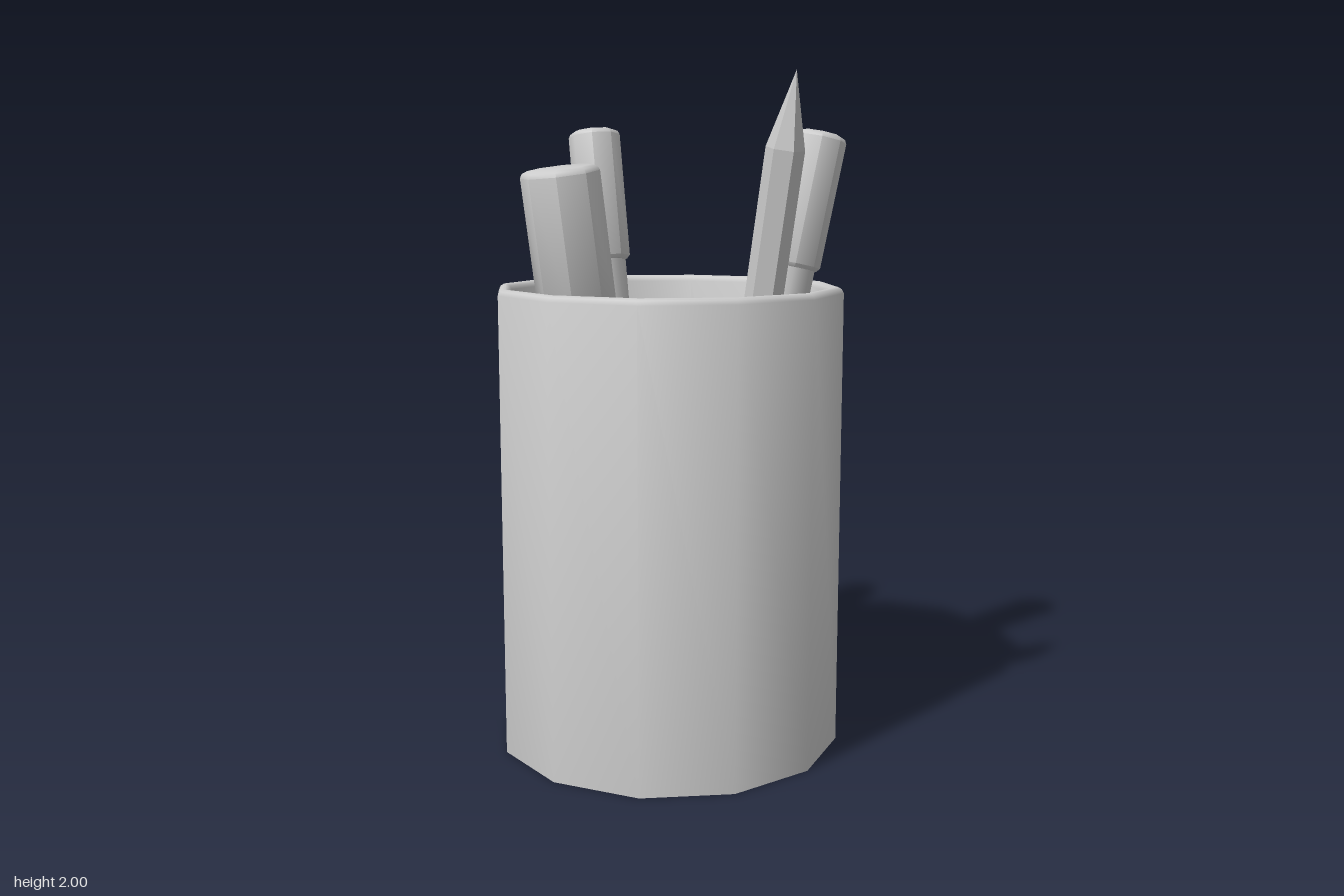
import * as THREE from 'three';
import { toCreasedNormals } from 'three/addons/utils/BufferGeometryUtils.js';

const material = new THREE.MeshStandardMaterial({ color: 0xcccccc });
const UP = new THREE.Vector3(0, 1, 0);

// Faceted solid of revolution; edges sharper than the crease angle stay hard
function turned(name, profile, sides, phase, crease) {
  const points = profile.map(([r, y]) => new THREE.Vector2(r, y));
  const lathe = new THREE.LatheGeometry(points, sides, phase);
  const mesh = new THREE.Mesh(toCreasedNormals(lathe, crease), material);
  mesh.name = name;
  return mesh;
}

// Stands a group at its foot and leans it toward its head
function lean(group, foot, head) {
  const a = new THREE.Vector3(...foot);
  const dir = new THREE.Vector3(...head).sub(a);
  group.position.copy(a);
  group.quaternion.setFromUnitVectors(UP, dir.clone().normalize());
  return dir.length();
}

// Eight-sided barrel with a wider, softly bevelled cap
function createPen({ name, foot, head, r, capR, capLength }) {
  const pen = new THREE.Group();
  pen.name = name;
  const len = lean(pen, foot, head);
  const start = len - capLength;
  const b = 0.018;
  pen.add(
    turned('barrel', [[0, 0], [r, 0], [r, start + 0.05], [0, start + 0.05]], 8, Math.PI / 8, 0.85),
    turned('cap', [
      [0, start], [capR - 0.01, start], [capR, start + 0.012],
      [capR, len - b], [capR - b * 0.35, len - b * 0.35], [capR - b * 1.2, len], [0, len],
    ], 8, Math.PI / 8, 0.85),
  );
  return pen;
}

// Hexagonal pencil with a sharpened point
function createPencil(foot, head) {
  const pencil = new THREE.Group();
  pencil.name = 'pencil';
  const len = lean(pencil, foot, head);
  pencil.add(turned('pencilBody', [[0, 0], [0.054, 0], [0.054, len - 0.21], [0, len]], 6, 0, 0.1));
  return pencil;
}

export function createModel() {
  const model = new THREE.Group();
  model.name = 'penHolder';

  // Twelve-sided hollow cup with a rounded rim
  const cup = turned('cup', [
    [0, 0], [0.525, 0], [0.525, 1.382], [0.519, 1.394], [0.508, 1.4],
    [0.502, 1.4], [0.491, 1.394], [0.485, 1.382], [0.485, 0.03], [0, 0.03],
  ], 12, 0, 0.85);
  cup.position.set(-0.03, 0, 0.005);
  model.add(cup);

  // Writing tools leaning against the rim
  const pens = [
    { name: 'leftPen', foot: [0.075, 0.03, 0.005], head: [0.475, 1.855, 0.005], r: 0.068, capR: 0.083, capLength: 0.42 },
    { name: 'backPen', foot: [-0.06, 0.03, -0.155], head: [-0.11, 1.87, -0.46], r: 0.068, capR: 0.083, capLength: 0.42 },
    { name: 'rightMarker', foot: [-0.17, 0.03, 0.06], head: [-0.405, 1.745, 0.135], r: 0.096, capR: 0.113, capLength: 0.44 },
  ];
  for (const pen of pens) model.add(createPen(pen));
  model.add(createPencil([0.022, 0.03, 0.145], [0.145, 2, 0.505]));

  return model;
}
